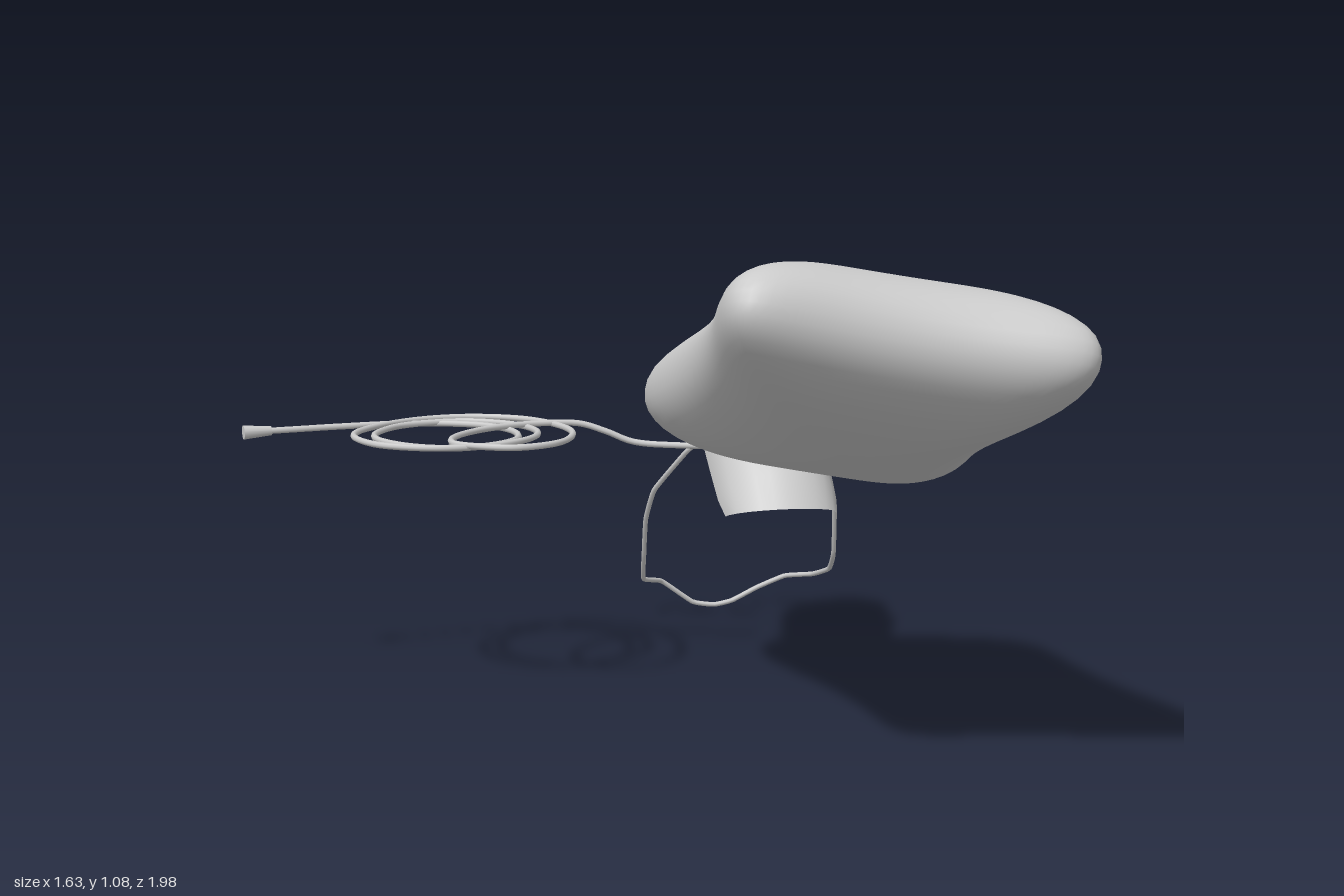
import * as THREE from 'three';
import { mergeVertices } from 'three/addons/utils/BufferGeometryUtils.js';

const V = (x, y, z) => new THREE.Vector3(x, y, z);
const CX = 0.455; // centre line of mask and neck

export function createModel() {
  const model = new THREE.Group();
  const mat = new THREE.MeshStandardMaterial({ color: 0xcccccc });
  const thinMat = new THREE.MeshStandardMaterial({ color: 0xcccccc, side: THREE.DoubleSide });

  const add = (name, geometry, material = mat) => {
    const mesh = new THREE.Mesh(geometry, material);
    mesh.name = name;
    model.add(mesh);
    return mesh;
  };
  // Round bar between two points, r0 at a and r1 at b
  const bar = (name, a, b, r0, r1, sides = 16) => {
    const dir = b.clone().sub(a);
    const mesh = add(name, new THREE.CylinderGeometry(r1, r0, dir.length(), sides));
    mesh.position.copy(a).add(b).multiplyScalar(0.5);
    mesh.quaternion.setFromUnitVectors(V(0, 1, 0), dir.normalize());
  };
  const tube = (name, points, radius, segments, tension = 0.5) => {
    const path = new THREE.CatmullRomCurve3(points, false, 'catmullrom', tension);
    add(name, new THREE.TubeGeometry(path, segments, radius, 8));
  };

  // Reservoir bag: a rounded cushion stretched over four skewed corners
  const bagGeometry = () => {
    let g = new THREE.BoxGeometry(2, 2, 2, 28, 14, 28);
    g.deleteAttribute('uv');
    g.deleteAttribute('normal');
    g = mergeVertices(g);
    const farL = V(-0.015, 1.055, 0.975), farR = V(0.805, 0.925, 1.045);
    const nearL = V(0.015, 0.715, -0.15), nearR = V(0.868, 0.562, -0.065);
    const up = V(0.168, 0.94, -0.3).normalize();
    const p = g.attributes.position;
    for (let i = 0; i < p.count; i++) {
      let u = p.getX(i), w = p.getY(i), v = p.getZ(i);
      const n = 5.5;
      const plan = Math.pow(Math.abs(u) ** n + Math.abs(v) ** n, 1 / n);
      const k = Math.pow(plan ** 2.2 + Math.abs(w) ** 2.2, -1 / 2.2);
      u *= k; v *= k; w *= k;
      // sides and far end draw inward between the corners, near end bulges to the neck
      const pu = u * (1 - 0.21 * (1 - v * v));
      const pv = v - (v > 0 ? 0.16 : 0.08) * v * v * (1 - u * u);
      const near = nearL.clone().lerp(nearR, (pu + 1) / 2);
      const far = farL.clone().lerp(farR, (pu + 1) / 2);
      const q = near.lerp(far, (pv + 1) / 2).addScaledVector(up, w * 0.175);
      p.setXYZ(i, q.x, q.y, q.z);
    }
    g.computeVertexNormals();
    return g;
  };
  add('reservoirBag', bagGeometry());

  // Neck between bag and mask
  bar('bagNeck', V(CX, 0.645, -0.08), V(CX, 0.572, -0.25), 0.056, 0.026);
  bar('hoseFitting', V(CX, 0.577, -0.24), V(CX, 0.545, -0.315), 0.034, 0.034);

  // Face mask: arched shell, each row gives ridge z, y then side edge z, y and half width
  const rows = [
    [-0.20, 0.42, -0.29, 0.39, 0.138],
    [-0.25, 0.50, -0.34, 0.42, 0.145],
    [-0.34, 0.60, -0.42, 0.47, 0.145],
    [-0.40, 0.635, -0.48, 0.51, 0.145],
    [-0.50, 0.645, -0.525, 0.54, 0.145],
    [-0.618, 0.655, -0.545, 0.575, 0.140],
  ];
  const across = 12, pos = [], index = [];
  rows.forEach(([cz, cy, ez, ey, hw], r) => {
    for (let j = 0; j <= across; j++) {
      const t = (j / across - 0.5) * Math.PI;
      const f = 1 - Math.cos(t);
      pos.push(CX + hw * Math.sin(t), cy + (ey - cy) * f, cz + (ez - cz) * f);
      if (r && j) {
        const d = r * (across + 1) + j, c = d - 1, b = d - across - 1, a = b - 1;
        index.push(a, b, c, b, d, c);
      }
    }
  });
  const maskGeometry = new THREE.BufferGeometry();
  maskGeometry.setAttribute('position', new THREE.Float32BufferAttribute(pos, 3));
  maskGeometry.setIndex(index);
  maskGeometry.computeVertexNormals();
  add('faceMask', maskGeometry, thinMat);

  // Valves on both cheeks
  for (const s of [-1, 1]) {
    const c = V(CX + s * 0.092, 0.572, -0.376);
    const n = V(s * 0.62, 0.68, 0.4).normalize();
    bar(s > 0 ? 'leftValve' : 'rightValve', c.clone().addScaledVector(n, -0.015),
      c.clone().addScaledVector(n, 0.016), 0.028, 0.028, 20);
  }
  // Nose clip bent over the ridge
  tube('noseClip', [-0.085, -0.045, 0, 0.045, 0.085].map(
    x => V(CX + x, 0.647 - 2.8 * x * x, -0.5)), 0.007, 16);

  // Elastic head strap
  tube('headStrap', [
    V(0.32, 0.55, -0.52), V(0.28, 0.51, -0.56), V(0.222, 0.39, -0.69), V(0.213, 0.3, -0.76),
    V(0.222, 0.19, -0.83), V(0.235, 0.11, -0.9), V(0.3, 0.085, -0.975), V(0.39, 0.02, -0.992),
    V(0.45, 0.01, -0.99), V(0.5, 0.02, -0.988), V(0.57, 0.055, -0.985), V(0.645, 0.088, -0.97),
    V(0.7, 0.11, -0.88), V(0.717, 0.145, -0.78), V(0.71, 0.2, -0.715), V(0.69, 0.35, -0.645),
    V(0.64, 0.5, -0.585), V(0.59, 0.55, -0.53),
  ], 0.0065, 140, 0.2);

  // Supply hose: leaves the fitting, coils flat and runs out to the plug
  const lead = [
    V(0.45, 0.565, -0.265), V(0.33, 0.565, -0.27), V(0.2, 0.566, -0.3), V(0.1, 0.573, -0.325),
    V(0.03, 0.6, -0.337), V(-0.04, 0.62, -0.345),
  ];
  const coil = [
    [-0.15, -0.335], [-0.25, -0.285], [-0.33, -0.2], [-0.365, -0.11], [-0.345, -0.04],
    [-0.24, 0.015], [-0.14, -0.03], [-0.085, -0.13], [-0.072, -0.25], [-0.11, -0.38],
    [-0.18, -0.465], [-0.29, -0.505], [-0.4, -0.48], [-0.5, -0.4], [-0.565, -0.3],
    [-0.572, -0.2], [-0.52, -0.09], [-0.4, -0.03], [-0.27, -0.055], [-0.18, -0.14],
    [-0.147, -0.25], [-0.18, -0.37], [-0.27, -0.445], [-0.36, -0.45], [-0.46, -0.4],
    [-0.522, -0.29], [-0.52, -0.19], [-0.46, -0.09], [-0.37, -0.045], [-0.27, -0.08],
    [-0.205, -0.17], [-0.2, -0.29], [-0.25, -0.39], [-0.35, -0.447], [-0.47, -0.463],
    [-0.6, -0.443], [-0.7, -0.42], [-0.78, -0.402],
  ].map(([x, z], i) => V(x, 0.622 - 0.0003 * i, z));
  tube('supplyHose', [...lead, ...coil], 0.0075, 300);
  bar('hosePlug', V(-0.76, 0.611, -0.407), V(-0.825, 0.61, -0.395), 0.011, 0.017, 12);

  return model;
}
